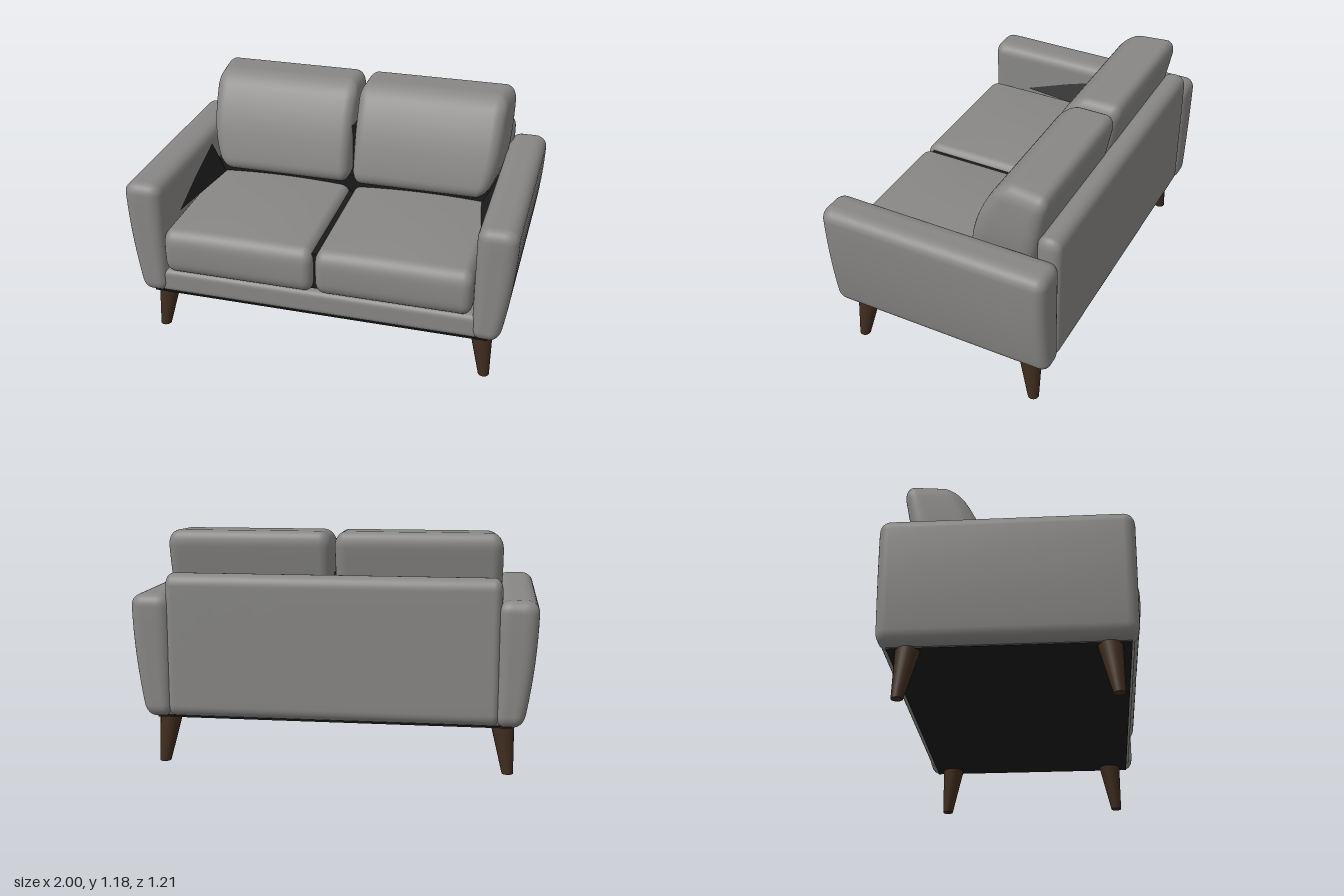
import * as THREE from 'three';
import { mergeVertices } from 'three/addons/utils/BufferGeometryUtils.js';

const paint = (name, color) => {
  const m = new THREE.MeshStandardMaterial({ color });
  m.name = name;
  return m;
};

// Rounded box with a subdivided surface; r holds the edge radius per axis.
// warp(v) may reshape each vertex, given relative to the box centre.
function softBox(size, r, warp) {
  const band = 4, n = 16;
  const g = new THREE.BoxGeometry(1, 1, 1, n, n, n);
  g.deleteAttribute('uv');
  g.deleteAttribute('normal');
  const pos = g.attributes.position;
  const v = new THREE.Vector3(), inner = new THREE.Vector3(), d = new THREE.Vector3();
  for (let i = 0; i < pos.count; i++) {
    v.fromBufferAttribute(pos, i);
    for (let a = 0; a < 3; a++) {
      const half = size[a] / 2, core = half - r[a];
      const c = v.getComponent(a);
      const step = Math.round((0.5 - Math.abs(c)) * n);
      const p = step <= band ? half - r[a] * step / band
        : core * (n / 2 - step) / (n / 2 - band);
      const x = Math.sign(c) * p;
      inner.setComponent(a, THREE.MathUtils.clamp(x, -core, core));
      d.setComponent(a, (x - inner.getComponent(a)) / r[a]);
    }
    d.normalize();
    v.set(inner.x + d.x * r[0], inner.y + d.y * r[1], inner.z + d.z * r[2]);
    if (warp) warp(v);
    pos.setXYZ(i, v.x, v.y, v.z);
  }
  const out = mergeVertices(g, 1e-5);
  out.computeVertexNormals();
  return out;
}

export function createModel() {
  const sofa = new THREE.Group();
  sofa.name = 'sofa';
  const fabric = paint('grey fabric', 0x888785);
  const lining = paint('black lining', 0x1b1b1b);
  lining.side = THREE.DoubleSide;
  const wood = paint('dark wood', 0x402d1f);

  const add = (name, geometry, material, x = 0, y = 0, z = 0) => {
    const mesh = new THREE.Mesh(geometry, material);
    mesh.name = name;
    mesh.position.set(x, y, z);
    sofa.add(mesh);
    return mesh;
  };

  // Frame between the arms
  add('baseRail', softBox([1.7, 0.13, 1.15], [0.03, 0.03, 0.03]), fabric, 0, 0.317, -0.005);
  add('backRest', softBox([1.65, 0.72, 0.125], [0.04, 0.06, 0.055]), fabric, 0, 0.612, -0.543);

  // Black underside and the dark gaps behind the cushions
  add('underside', new THREE.BoxGeometry(1.76, 0.008, 1.12), lining, 0, 0.248, -0.005);
  add('seatSeam', new THREE.BoxGeometry(0.04, 0.2, 0.95), lining, 0, 0.5, 0.08);
  add('backSeam', new THREE.BoxGeometry(0.04, 0.34, 0.2), lining, 0, 0.8, -0.3);
  add('cushionGap', new THREE.BoxGeometry(1.56, 0.1, 0.22), lining, 0, 0.65, -0.26);

  for (const s of [1, -1]) {
    const side = s > 0 ? 'left' : 'right';

    // Arm: outer face curves inwards towards the bottom
    add(side + 'Arm', softBox([0.2, 0.62, 1.2], [0.065, 0.06, 0.055], v => {
      const t = v.y / 0.62 + 0.5;
      const outer = THREE.MathUtils.clamp(v.x * s / 0.2 + 0.5, 0, 1);
      v.x -= s * 0.065 * (1 - t) ** 2 * outer;
    }), fabric, s * 0.9, 0.56, -0.01);

    // Seat cushion: gently domed, bulging at the front
    add(side + 'SeatCushion', softBox([0.795, 0.25, 1.0], [0.05, 0.07, 0.055], v => {
      const fx = 1 - (v.x / 0.4) ** 2, fz = 1 - (v.z / 0.5) ** 2;
      if (v.y > 0) v.y += 0.022 * fx * fz * (v.y / 0.125);
      if (v.z > 0) v.z += 0.015 * (1 - (v.y / 0.15) ** 2) * (v.z / 0.5);
    }), fabric, s * 0.402, 0.505, 0.09);

    // Back cushion: leans back, rounded over at the top front
    add(side + 'BackCushion', softBox([0.825, 0.52, 0.36], [0.06, 0.08, 0.08], v => {
      const t = v.y / 0.52 + 0.5;
      const front = v.z / 0.36 + 0.5;
      const outer = THREE.MathUtils.clamp(v.x * s / 0.825 + 0.5, 0, 1);
      v.z -= 0.1 * t + 0.11 * t ** 3 * front;
      v.x -= s * outer * (0.035 * front + 0.07 * (1 - t) ** 4);
    }), fabric, s * 0.418, 0.92, -0.26);

    // Dark triangular fill between arm, seat and back cushion
    const gap = new THREE.BufferGeometry();
    gap.setAttribute('position', new THREE.Float32BufferAttribute([
      s * 0.805, 0.81, -0.13, s * 0.72, 0.645, -0.12, s * 0.795, 0.63, 0.36,
    ], 3));
    gap.computeVertexNormals();
    add(side + 'SideGap', gap, lining);

    // Tapered legs with upright outer edges
    for (const f of [1, -1]) {
      const leg = new THREE.CylinderGeometry(0.06, 0.028, 0.26, 24);
      leg.translate(0, 0.13, 0);
      const p = leg.attributes.position;
      for (let i = 0; i < p.count; i++) {
        const k = p.getY(i) / 0.26;
        p.setX(i, p.getX(i) - s * 0.032 * k);
        p.setZ(i, p.getZ(i) - f * 0.034 * k);
      }
      leg.computeVertexNormals();
      add(side + (f > 0 ? 'Front' : 'Rear') + 'Leg', leg, wood, s * 0.867, 0, f > 0 ? 0.489 : -0.503);
    }
  }
  return sofa;
}
